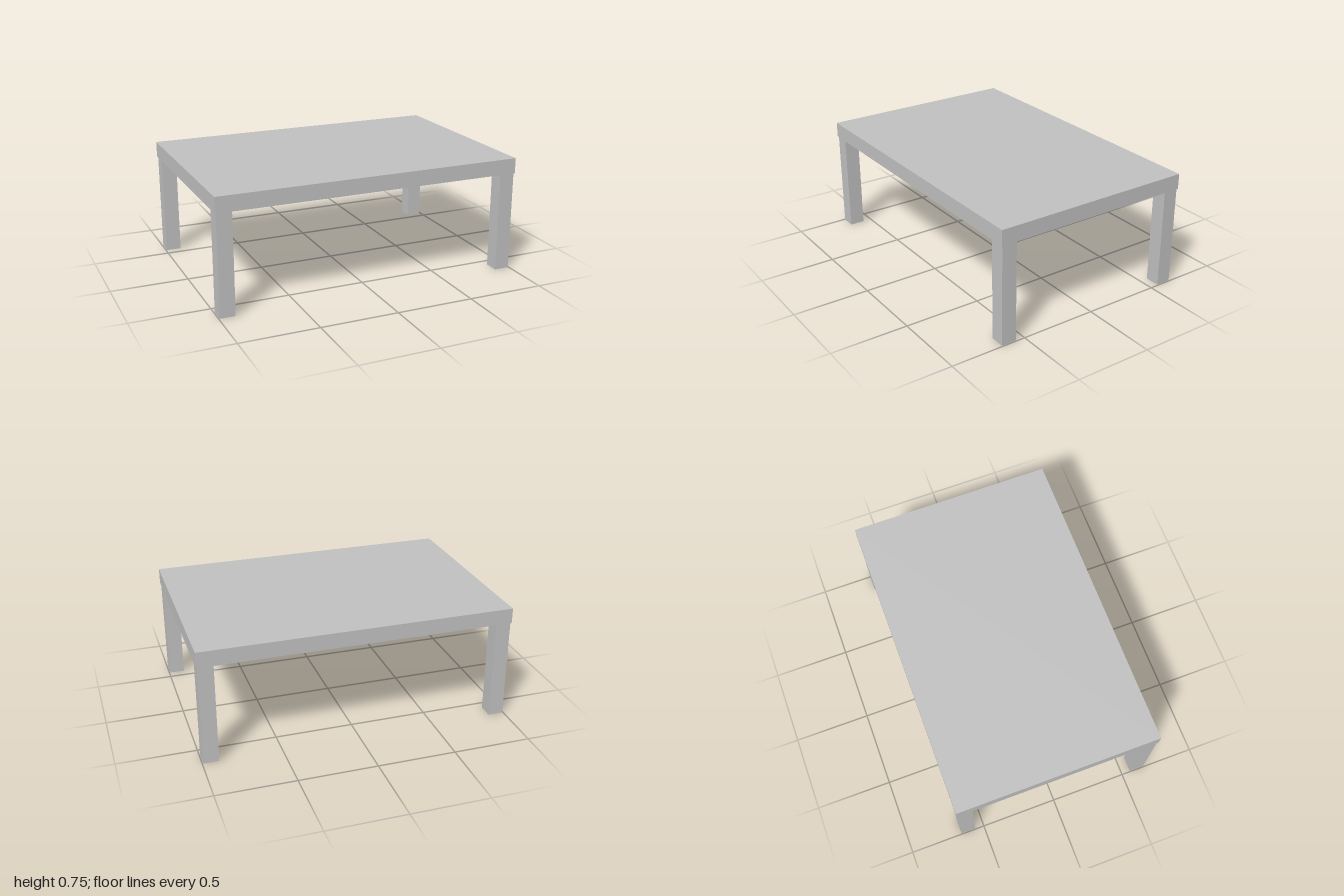
import * as THREE from 'three';

export function createModel() {
  const model = new THREE.Group();
  model.name = 'coffeeTable';

  const grey = new THREE.MeshStandardMaterial({ color: 0xc0c0c0 });
  grey.name = 'grey';

  const addBox = (name, size, position) => {
    const mesh = new THREE.Mesh(new THREE.BoxGeometry(...size), grey);
    mesh.name = name;
    mesh.position.set(...position);
    model.add(mesh);
  };

  const depth = 1.325, legHeight = 0.65, topThickness = 0.1;
  const legWidth = 0.098, inset = 0.006;

  // Thick slab top
  addBox('tableTop', [2, topThickness, depth], [0, legHeight + topThickness / 2, 0]);

  // Four square legs, set in slightly from the corners
  const legX = 1 - inset - legWidth / 2;
  const legZ = depth / 2 - inset - legWidth / 2;
  for (const [side, sx] of [['Left', 1], ['Right', -1]]) {
    for (const [end, sz] of [['front', 1], ['back', -1]]) {
      addBox(`${end}${side}Leg`, [legWidth, legHeight, legWidth], [sx * legX, legHeight / 2, sz * legZ]);
    }
  }

  return model;
}
